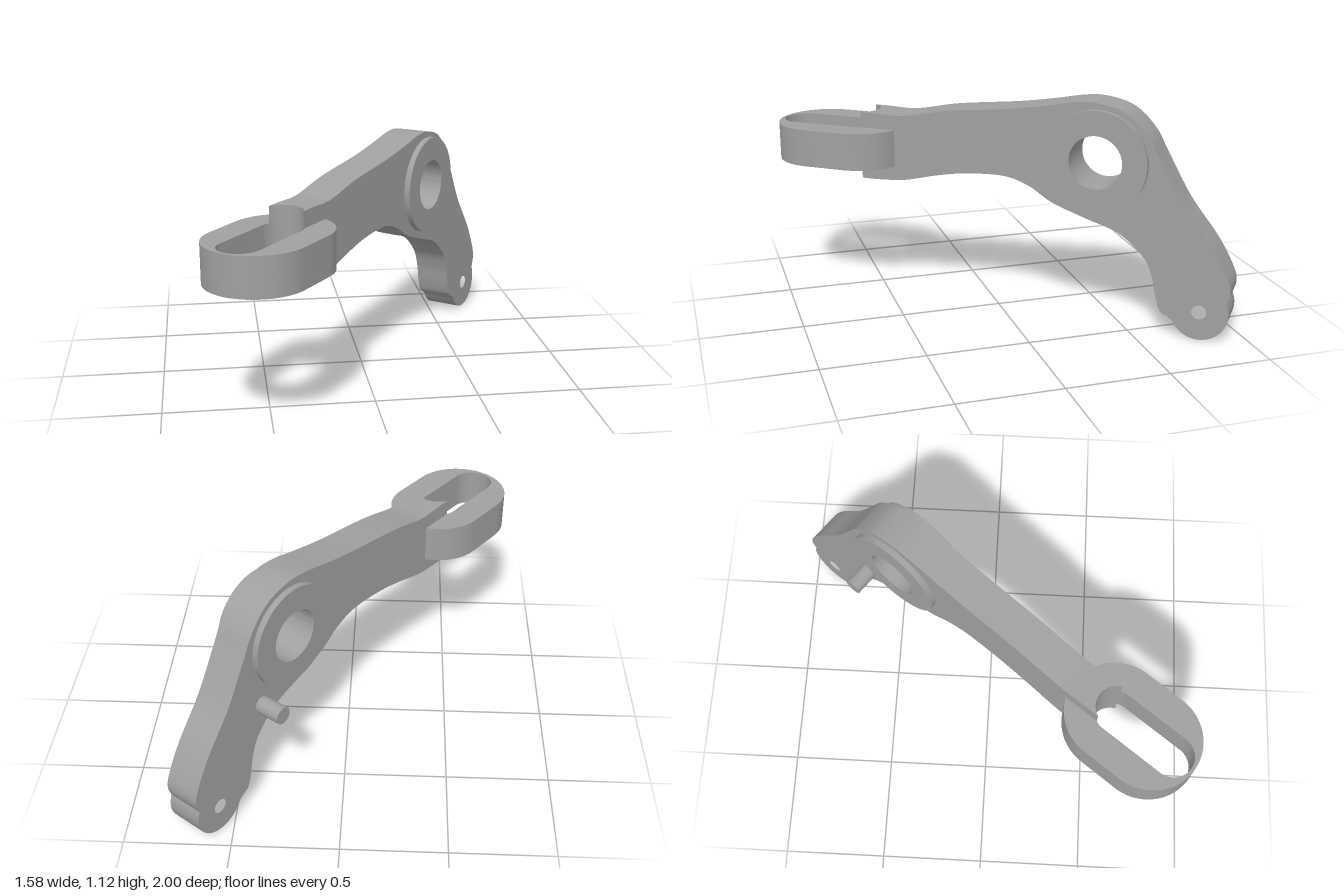
import * as THREE from 'three';
import { toCreasedNormals } from 'three/addons/utils/BufferGeometryUtils.js';

const metal = new THREE.MeshStandardMaterial({ color: 0xa0a0a0 });
metal.name = 'grey metal';

const MID = 0.009; // middle plane of the arm's thickness
const points = (list) => list.map(([x, y]) => new THREE.Vector2(x, y));

function extrude(shape, depth, curveSegments = 20) {
  const g = new THREE.ExtrudeGeometry(shape, { depth, bevelEnabled: false, curveSegments });
  return toCreasedNormals(g, 0.5);
}

function circlePath(x, y, r) {
  return new THREE.Path().absarc(x, y, r, 0, Math.PI * 2, true);
}

// Rounded slot outline running along x
function stadium(Type, x0, x1, r) {
  const p = new Type();
  p.absarc(x1, 0, r, -Math.PI / 2, Math.PI / 2, false);
  p.absarc(x0, 0, r, Math.PI / 2, Math.PI * 1.5, false);
  p.closePath();
  return p;
}

export function createModel() {
  const model = new THREE.Group();
  model.name = 'bellCrank';
  const lever = new THREE.Group();
  lever.name = 'lever';
  lever.rotation.y = 0.932;
  model.add(lever);

  const add = (name, geometry, x = 0, y = 0, z = 0) => {
    const mesh = new THREE.Mesh(geometry, metal);
    mesh.name = name;
    mesh.position.set(x, y, z);
    lever.add(mesh);
    return mesh;
  };

  // Bent arm: upper edge, round lobe at the foot, lower edge
  const arm = new THREE.Shape();
  arm.moveTo(-0.62, 0.976);
  arm.splineThru(points([
    [-0.467, 0.975], [-0.237, 1.018], [0.075, 1.053], [0.264, 1.083], [0.42, 1.112], [0.53, 1.114],
    [0.66, 1.077], [0.765, 0.98], [0.83, 0.865], [0.946, 0.66], [1.089, 0.47], [1.168, 0.33],
    [1.187, 0.257], [1.171, 0.199],
  ]));
  arm.absarc(1.043, 0.14, 0.14, 0.435, -2.7, true);
  arm.splineThru(points([
    [0.89, 0.1], [0.855, 0.122], [0.832, 0.19], [0.81, 0.29], [0.765, 0.385], [0.645, 0.488],
    [0.475, 0.548], [0.31, 0.608], [0.19, 0.68], [0.06, 0.718], [-0.134, 0.712],
    [-0.3, 0.684], [-0.467, 0.645], [-0.62, 0.634],
  ]));
  arm.closePath();
  arm.holes.push(circlePath(0.525, 0.835, 0.19), circlePath(1.043, 0.14, 0.036));
  add('arm', extrude(arm, 0.182, 12), 0, 0, MID - 0.091);

  // Arm end hollowed to meet the slot
  const end = new THREE.Shape();
  end.moveTo(-0.62, -0.091);
  end.lineTo(-0.62, 0.091);
  end.lineTo(-0.7, 0.091);
  end.absarc(-0.741, 0, 0.1, 1.143, -1.143, true);
  end.closePath();
  add('armEnd', extrude(end, 0.342).rotateX(-Math.PI / 2), 0, 0.634, MID);

  // Slotted loop lying flat
  const loop = stadium(THREE.Shape, -0.941, -0.741, 0.24);
  loop.holes.push(stadium(THREE.Path, -1.066, -0.741, 0.1));
  add('slottedLoop', extrude(loop, 0.187, 32).rotateX(-Math.PI / 2), 0, 0.71, MID);

  // Pivot hub standing proud on both faces
  const hub = new THREE.Shape();
  hub.absarc(0, 0, 0.25, 0, Math.PI * 2, false);
  hub.holes.push(circlePath(0, 0, 0.13));
  add('pivotHub', extrude(hub, 0.242, 48), 0.525, 0.835, MID - 0.121);

  // Stop pin on the back face
  const pin = new THREE.CylinderGeometry(0.043, 0.043, 0.2, 32).rotateX(Math.PI / 2);
  add('stopPin', pin, 0.732, 0.55, -0.113);

  return model;
}
